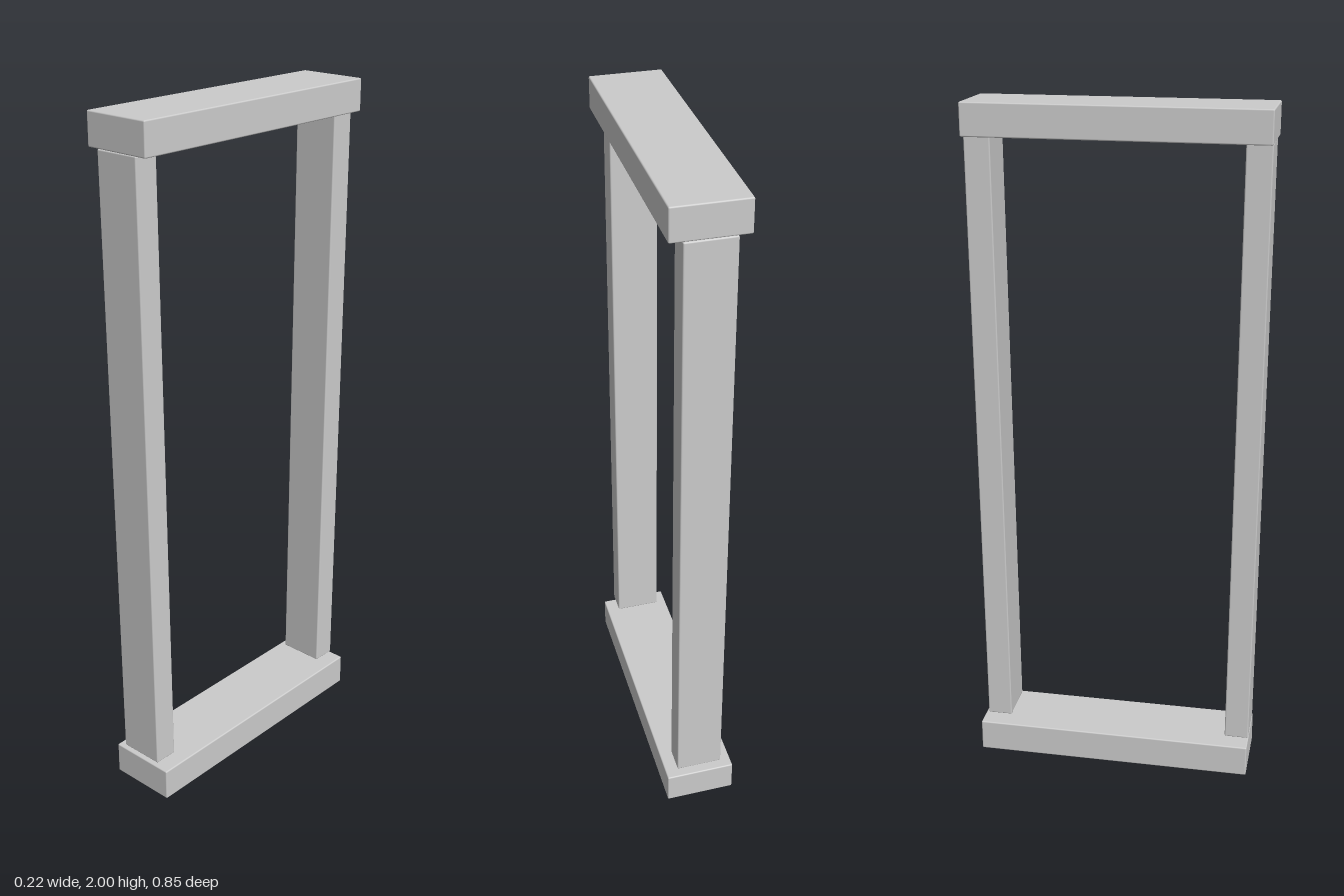
import * as THREE from 'three';
import { RoundedBoxGeometry } from 'three/addons/geometries/RoundedBoxGeometry.js';

export function createModel() {
  const group = new THREE.Group();
  const material = new THREE.MeshStandardMaterial({ color: 0xcccccc });

  // Timber with a tiny edge bevel, set slightly out of true
  function timber(name, size, position, tilt) {
    const mesh = new THREE.Mesh(new RoundedBoxGeometry(...size, 2, 0.004), material);
    mesh.name = name;
    mesh.position.set(...position);
    mesh.rotation.set(...tilt);
    group.add(mesh);
  }

  // Horizontal beams along z
  timber('topBeam', [0.206, 0.092, 0.84], [-0.001, 1.953, 0.004], [0, -0.011, 0]);
  timber('bottomBeam', [0.206, 0.096, 0.834], [0.003, 0.05, -0.005], [0, 0, 0]);

  // Upright posts, stopping just short of the bottom beam
  timber('frontPost', [0.137, 1.794, 0.072], [-0.003, 1.01, 0.381], [0.005, 0, 0.006]);
  timber('backPost', [0.137, 1.794, 0.074], [0.003, 1.01, -0.375], [-0.006, 0, 0]);

  return group;
}
